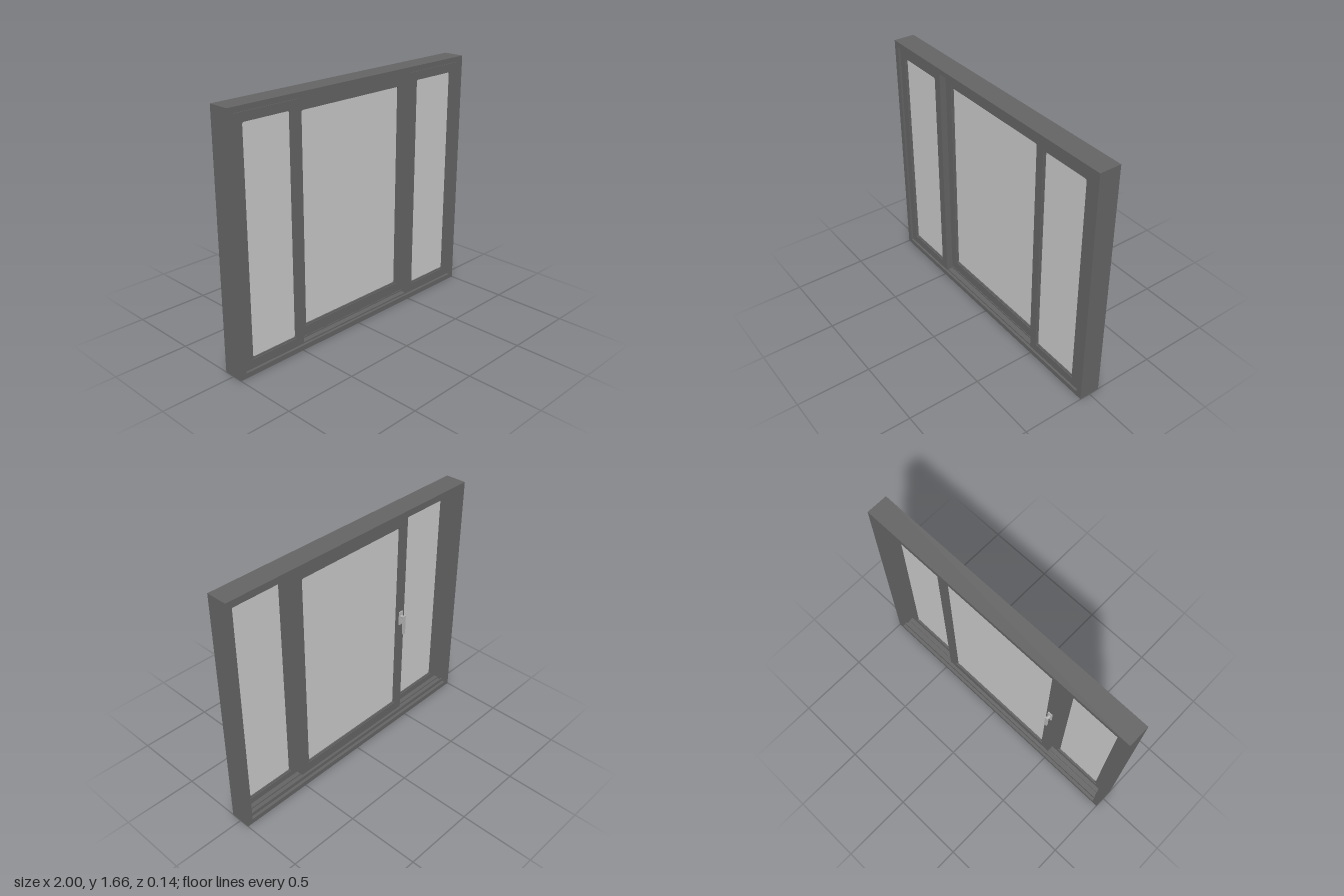
import * as THREE from 'three';

const frameMat = new THREE.MeshStandardMaterial({ color: 0x646464 });
frameMat.name = 'dark grey frame';
const glassMat = new THREE.MeshStandardMaterial({ color: 0xc9c9c9 });
glassMat.name = 'pale grey glass';
const handleMat = new THREE.MeshStandardMaterial({ color: 0xb4b4b4 });
handleMat.name = 'light metal handle';

function add(parent, name, geo, mat) {
  const mesh = new THREE.Mesh(geo, mat);
  mesh.name = name;
  parent.add(mesh);
  return mesh;
}

// Box given by its limits
function block(parent, name, mat, x0, x1, y0, y1, z0, z1) {
  const m = add(parent, name, new THREE.BoxGeometry(x1 - x0, y1 - y0, z1 - z0), mat);
  m.position.set((x0 + x1) / 2, (y0 + y1) / 2, (z0 + z1) / 2);
  return m;
}

// Rectangle outline with optional rounded corners
function trace(path, [x0, x1, y0, y1], r = 0) {
  path.moveTo(x0 + r, y0);
  path.lineTo(x1 - r, y0);
  if (r) path.absarc(x1 - r, y0 + r, r, -Math.PI / 2, 0);
  path.lineTo(x1, y1 - r);
  if (r) path.absarc(x1 - r, y1 - r, r, 0, Math.PI / 2);
  path.lineTo(x0 + r, y1);
  if (r) path.absarc(x0 + r, y1 - r, r, Math.PI / 2, Math.PI);
  path.lineTo(x0, y0 + r);
  if (r) path.absarc(x0 + r, y0 + r, r, Math.PI, Math.PI * 1.5);
  path.closePath();
  return path;
}

// Rectangular ring between two outlines, from z0 to z1
function ring(parent, name, outer, inner, z0, z1, r = 0) {
  const shape = trace(new THREE.Shape(), outer);
  shape.holes.push(trace(new THREE.Path(), inner, r));
  const geo = new THREE.ExtrudeGeometry(shape, { depth: z1 - z0, bevelEnabled: false, curveSegments: 4 });
  geo.translate(0, 0, z0);
  return add(parent, name, geo, frameMat);
}

const grow = ([x0, x1, y0, y1], d) => [x0 - d, x1 + d, y0 - d, y1 + d];

// Sash: main ring, lower glazing bead with rounded corners, and a pane
function sash(parent, name, outer, pane, z0, z1) {
  const g = new THREE.Group();
  g.name = name;
  parent.add(g);
  const mid = (z0 + z1) / 2;
  ring(g, 'sashFrame', outer, grow(pane, 0.01), z0, z1);
  ring(g, 'glazingBead', grow(pane, 0.01), pane, z0 + 0.005, z1 - 0.005, 0.012);
  const [x0, x1, y0, y1] = grow(pane, 0.004);
  block(g, 'glassPane', glassMat, x0, x1, y0, y1, mid - 0.009, mid + 0.009);
  return g;
}

export function createModel() {
  const model = new THREE.Group();
  model.name = 'slidingWindow';
  const D = 0.0725;
  const H = 1.665;

  // Outer frame, with a small step inside it
  ring(model, 'outerFrame', [-1, 1, 0, H], [-0.96, 0.96, 0.035, 1.63], -D, D);
  ring(model, 'frameStep', [-0.965, 0.965, 0.03, 1.635], [-0.95, 0.95, 0.045, 1.62], -0.045, 0.055);

  // Fixed side lights towards the front
  for (const s of [-1, 1]) {
    const span = (a, b) => (s > 0 ? [a, b] : [-b, -a]);
    sash(model, s > 0 ? 'leftFixedSash' : 'rightFixedSash',
      [...span(0.485, 0.955), 0.04, 1.625], [...span(0.55, 0.89), 0.11, 1.565], 0.018, 0.062);
  }

  // Sliding centre sash, set further back
  sash(model, 'slidingSash', [-0.49, 0.49, 0.055, 1.61], [-0.42, 0.42, 0.135, 1.535], -0.03, 0.016);

  // Sill and head tracks
  for (const [name, y0, y1, lip] of [['bottomTrack', 0.035, 0.055, 0.062], ['topTrack', 1.61, 1.63, 1.603]]) {
    block(model, name, frameMat, -0.955, 0.955, y0, y1, -0.012, 0.02);
    block(model, name + 'Rail', frameMat, -0.955, 0.955, Math.min(y0, lip), Math.max(y1, lip), -0.052, -0.042);
  }

  // Handle on the back of the sliding sash
  const handle = new THREE.Group();
  handle.name = 'handle';
  model.add(handle);
  block(handle, 'handlePlate', handleMat, -0.472, -0.438, 0.80, 0.90, -0.038, -0.03);
  const neck = add(handle, 'handleNeck', new THREE.CylinderGeometry(0.01, 0.01, 0.026, 16), handleMat);
  neck.rotation.x = Math.PI / 2;
  neck.position.set(-0.455, 0.865, -0.048);
  block(handle, 'handleLever', handleMat, -0.465, -0.445, 0.735, 0.878, -0.069, -0.057);

  return model;
}
